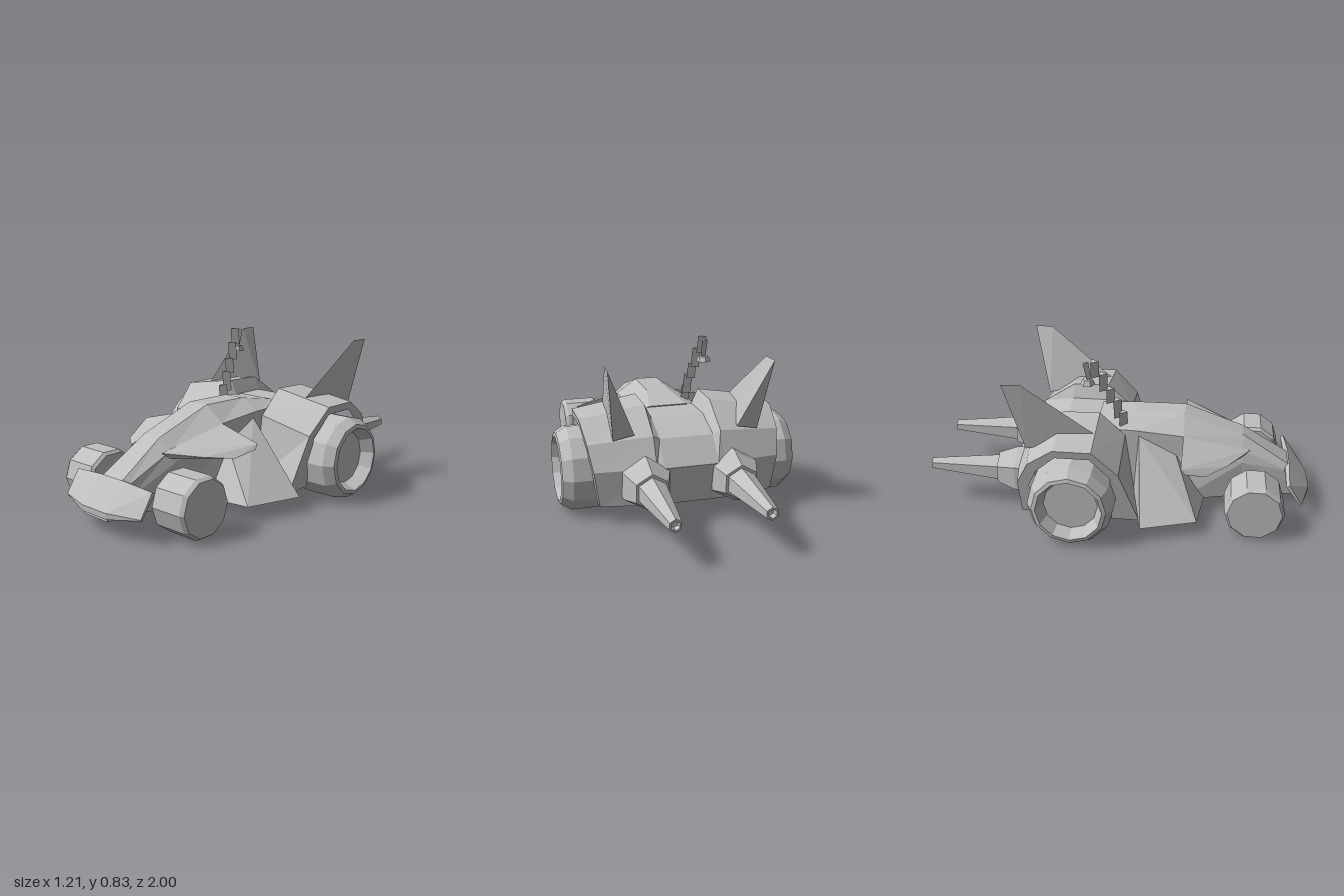
import * as THREE from 'three';
import { ConvexGeometry } from 'three/addons/geometries/ConvexGeometry.js';

const grey = new THREE.MeshStandardMaterial({ color: 0xbfbfbf });
grey.name = 'body grey';

// Faceted normals, with every surface wound outwards
function faceted(geo) {
  const g = geo.index ? geo.toNonIndexed() : geo;
  const p = g.attributes.position;
  const a = new THREE.Vector3(), b = new THREE.Vector3(), c = new THREE.Vector3();
  let volume = 0;
  for (let i = 0; i < p.count; i += 3) {
    a.fromBufferAttribute(p, i);
    b.fromBufferAttribute(p, i + 1);
    c.fromBufferAttribute(p, i + 2);
    volume += a.dot(b.cross(c));
  }
  if (volume < 0) {
    for (let i = 0; i < p.count; i += 3) {
      b.fromBufferAttribute(p, i + 1);
      c.fromBufferAttribute(p, i + 2);
      p.setXYZ(i + 1, c.x, c.y, c.z);
      p.setXYZ(i + 2, b.x, b.y, b.z);
    }
  }
  g.computeVertexNormals();
  return g;
}

// Skin through matching rows of [x, y, z] points; closed rows are rings with end caps
function loft(rows, closed = true) {
  const n = rows[0].length, pos = rows.flat(2), idx = [];
  for (let r = 0; r < rows.length - 1; r++) {
    for (let i = 0; i < (closed ? n : n - 1); i++) {
      const j = (i + 1) % n, a = r * n + i, b = r * n + j;
      idx.push(a, b, b + n, a, b + n, a + n);
    }
  }
  const last = (rows.length - 1) * n;
  for (let i = 1; closed && i < n - 1; i++) {
    idx.push(0, i + 1, i, last, last + i, last + i + 1);
  }
  const g = new THREE.BufferGeometry();
  g.setAttribute('position', new THREE.Float32BufferAttribute(pos, 3));
  g.setIndex(idx);
  return g;
}

const hull = (pts) => new ConvexGeometry(pts.map((p) => new THREE.Vector3(...p)));
const lathe = (pts, sides) => new THREE.LatheGeometry(pts.map((p) => new THREE.Vector2(...p)), sides);

export function createModel() {
  const car = new THREE.Group();
  car.name = 'car';
  const add = (name, geo) => {
    const mesh = new THREE.Mesh(faceted(geo), grey);
    mesh.name = name;
    car.add(mesh);
  };

  // Front hull: z, then half-section pairs of x, y from floor to crown
  const frontSections = [
    [0.99, 0.085, 0.08, 0.085, 0.09, 0.085, 0.1, 0.05, 0.12],
    [0.88, 0.1, 0.08, 0.1, 0.16, 0.095, 0.22, 0.07, 0.25],
    [0.64, 0.14, 0.08, 0.14, 0.28, 0.12, 0.34, 0.055, 0.4],
    [0.33, 0.22, 0.08, 0.17, 0.32, 0.17, 0.43, 0.06, 0.508],
    [0.07, 0.17, 0.08, 0.17, 0.33, 0.17, 0.45, 0.06, 0.505],
    [-0.12, 0.17, 0.08, 0.17, 0.3, 0.165, 0.45, 0.1, 0.475],
  ];
  add('frontHull', loft(frontSections.map(([z, ...v]) => {
    const half = [0, 2, 4, 6].map((i) => [v[i], v[i + 1], z]);
    return [...half, ...half.map(([x, y]) => [-x, y, z]).reverse()];
  })));

  // Rear body: side profiles of z, y for the deck, shoulder and outer edge
  const deck = [[0.08, 0.08], [0.04, 0.36], [-0.1, 0.47], [-0.29, 0.47], [-0.45, 0.41], [-0.54, 0.29], [-0.52, 0.1], [-0.4, 0.08]];
  const shoulder = [[0.08, 0.08], [0.03, 0.42], [-0.1, 0.545], [-0.29, 0.54], [-0.46, 0.43], [-0.53, 0.29], [-0.52, 0.1], [-0.4, 0.08]];
  const wall = [[-0.06, 0.08], [-0.06, 0.36], [-0.12, 0.5], [-0.29, 0.5], [-0.44, 0.4], [-0.5, 0.28], [-0.5, 0.1], [-0.4, 0.08]];
  const ring = (x, profile) => profile.map(([z, y]) => [x, y, z]);
  add('rearBody', loft([
    ring(-0.25, wall), ring(-0.17, shoulder), ring(-0.135, deck),
    ring(0.135, deck), ring(0.17, shoulder), ring(0.25, wall),
  ]));

  // Open rear fender: inner edge, outer edge and the lip round the wheel
  const fenderOuter = [[0.13, 0.08], [0.03, 0.36], [-0.1, 0.49], [-0.29, 0.49], [-0.42, 0.4], [-0.48, 0.28], [-0.47, 0.1]];
  const fenderLip = [[-0.01, 0.08], [-0.01, 0.34], [-0.11, 0.45], [-0.28, 0.45], [-0.38, 0.36], [-0.42, 0.27], [-0.41, 0.1]];
  const fenderX = (y) => 0.5 - 0.065 * Math.max(0, (0.49 - y) / 0.41);
  const fenderRows = [
    ring(0.17, shoulder.slice(0, 7)),
    fenderOuter.map(([z, y]) => [fenderX(y), y, z]),
    fenderLip.map(([z, y]) => [fenderX(y), y, z]),
  ];

  // Slanted front bumper
  const bumper = [];
  for (const s of [1, -1]) {
    bumper.push([s * 0.085, 0.25, 0.89], [s * 0.27, 0.235, 0.88], [s * 0.085, 0.125, 1], [s * 0.27, 0.125, 0.95],
      [s * 0.085, 0.24, 0.87], [s * 0.27, 0.225, 0.865], [s * 0.085, 0.095, 0.998], [s * 0.27, 0.115, 0.945]);
  }
  add('bumper', hull(bumper));

  for (const s of [1, -1]) {
    const side = s > 0 ? 'left' : 'right';
    const mirrored = (pts) => pts.map(([x, y, z]) => [s * x, y, z]);
    const sided = (pts) => hull(mirrored(pts));

    add(side + 'Fender', loft(fenderRows.map(mirrored), false));

    // Winglet over the front suspension
    add(side + 'Winglet', sided([
      [0.11, 0.34, 0.68], [0.17, 0.43, 0.33], [0.4, 0.37, 0.33], [0.405, 0.345, 0.35],
      [0.365, 0.315, 0.45], [0.27, 0.325, 0.555], [0.13, 0.31, 0.64], [0.12, 0.325, 0.33],
    ]));

    // Sloping side skirt
    add(side + 'Skirt', sided([
      [0.17, 0.42, 0.1], [0.16, 0.33, 0.29], [0.51, 0.08, 0.14], [0.42, 0.08, 0.42],
      [0.15, 0.08, 0.07], [0.12, 0.08, 0.46],
    ]));

    // Tail fin
    add(side + 'Fin', sided([
      [0.34, 0.5, -0.09], [0.26, 0.44, -0.45], [0.365, 0.42, -0.45],
      [0.405, 0.785, -0.545], [0.4, 0.785, -0.45],
    ]));

    // Exhaust cone with a hollow tip
    add(side + 'Exhaust', lathe([
      [0, 0.42], [0.135, 0.42], [0.13, 0.53], [0.09, 0.63], [0.075, 0.63],
      [0.032, 1], [0.022, 1], [0.02, 0.97], [0, 0.97],
    ], 6).rotateX(-Math.PI / 2).translate(s * 0.22, 0.215, 0));

    // Wheels: radius and distance from the centre line
    const wheel = (name, pts, sides, y, z) => add(side + name,
      lathe(pts, sides).rotateZ(-Math.PI / 2).scale(s, 1, 1).translate(0, y, z));
    wheel('RearWheel', [
      [0, 0.32], [0.175, 0.32], [0.215, 0.36], [0.215, 0.55], [0.185, 0.6],
      [0.165, 0.605], [0.135, 0.54], [0, 0.54],
    ], 12, 0.217, -0.2);
    wheel('FrontWheel', [
      [0, 0.22], [0.135, 0.22], [0.15, 0.235], [0.15, 0.41], [0.137, 0.43], [0, 0.43],
    ], 10, 0.15, 0.705);
  }

  // Stepped mast of three-sided links: x, bottom, top, z
  const links = [
    [-0.132, 0.46, 0.54, 0.012], [-0.134, 0.505, 0.61, -0.018], [-0.146, 0.595, 0.675, -0.053],
    [-0.157, 0.665, 0.76, -0.088], [-0.174, 0.745, 0.832, -0.128],
  ];
  for (const [x, y0, y1, z] of links) {
    add('mastLink', new THREE.CylinderGeometry(0.026, 0.026, y1 - y0, 3)
      .rotateZ(0.1).translate(x, (y0 + y1) / 2, z));
  }

  // Hanging mast head
  add('mastHanger', new THREE.CylinderGeometry(0.018, 0.012, 0.1, 3)
    .rotateX(-0.2).translate(-0.178, 0.772, -0.162));
  add('mastHead', new THREE.CylinderGeometry(0.026, 0.038, 0.026, 6).translate(-0.18, 0.72, -0.158));

  return car;
}
